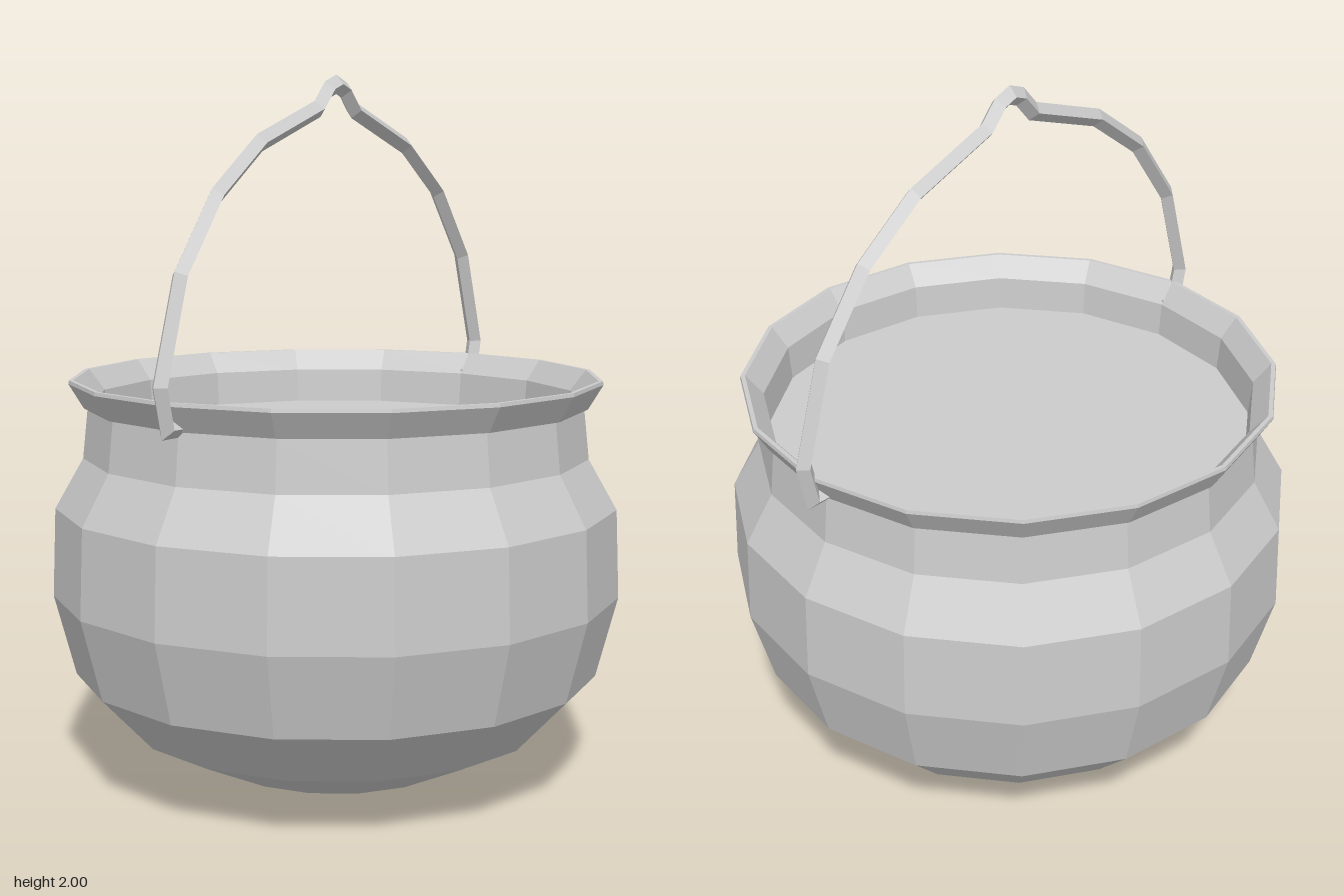
import * as THREE from 'three';

const SIDES = 16;
const material = new THREE.MeshStandardMaterial({ color: 0xcccccc, flatShading: true });

function addPart(group, name, geometry) {
  const flat = geometry.index ? geometry.toNonIndexed() : geometry;
  flat.computeVertexNormals();
  const mesh = new THREE.Mesh(flat, material);
  mesh.name = name;
  group.add(mesh);
  return mesh;
}

// Sweeps a diamond section along a path of [z, y] points in the x = 0 plane
function diamondSweep(path, r) {
  const positions = [];
  const index = [];
  const pts = path.map(([z, y]) => new THREE.Vector2(z, y));
  const last = pts.length - 1;
  pts.forEach((p, i) => {
    const before = pts[i].clone().sub(pts[Math.max(i - 1, 0)]).normalize();
    const after = pts[Math.min(i + 1, last)].clone().sub(p).normalize();
    const t = before.clone().add(after).normalize();
    // Widen the section at bends so the bar keeps its thickness
    const m = r / Math.max(t.dot(i < last ? after : before), 0.7);
    const nz = t.y * m, ny = -t.x * m;
    positions.push(0, p.y + ny, p.x + nz, r, p.y, p.x, 0, p.y - ny, p.x - nz, -r, p.y, p.x);
  });
  for (let i = 0; i < last; i++) {
    for (let k = 0; k < 4; k++) {
      const a = i * 4 + k, b = i * 4 + (k + 1) % 4;
      index.push(a, b, b + 4, a, b + 4, a + 4);
    }
  }
  const e = last * 4;
  index.push(0, 2, 1, 0, 3, 2, e, e + 1, e + 2, e, e + 2, e + 3);
  const geometry = new THREE.BufferGeometry();
  geometry.setAttribute('position', new THREE.Float32BufferAttribute(positions, 3));
  geometry.setIndex(index);
  return geometry;
}

export function createModel() {
  const group = new THREE.Group();
  group.name = 'cauldron';

  // Pot: outer wall, flared lip, then down the inside of the neck
  const profile = [
    [0, 0], [0.09, 0], [0.35, 0.04], [0.6, 0.16], [0.75, 0.32], [0.81, 0.55],
    [0.8, 0.8], [0.72, 0.94], [0.705, 1.08], [0.715, 1.08], [0.757, 1.15], [0.755, 1.16],
    [0.743, 1.16], [0.695, 1.1], [0.685, 0.98],
  ].map(([x, y]) => new THREE.Vector2(x, y));
  addPart(group, 'pot', new THREE.LatheGeometry(profile, SIDES));

  // Flat surface of the contents
  const contents = addPart(group, 'contents', new THREE.CircleGeometry(0.687, SIDES).rotateX(-Math.PI / 2));
  contents.position.y = 1;

  // Arched carrying handle, mirrored front to back, hooked under the lip
  const half = [
    [0.7, 1.09], [0.75, 1.09], [0.775, 1.2], [0.69, 1.475], [0.54, 1.675],
    [0.355, 1.81], [0.09, 1.905], [0.04, 1.96],
  ];
  const path = [...half, [0, 1.975], ...half.map(([z, y]) => [-z, y]).reverse()];
  addPart(group, 'handle', diamondSweep(path, 0.025));

  return group;
}
